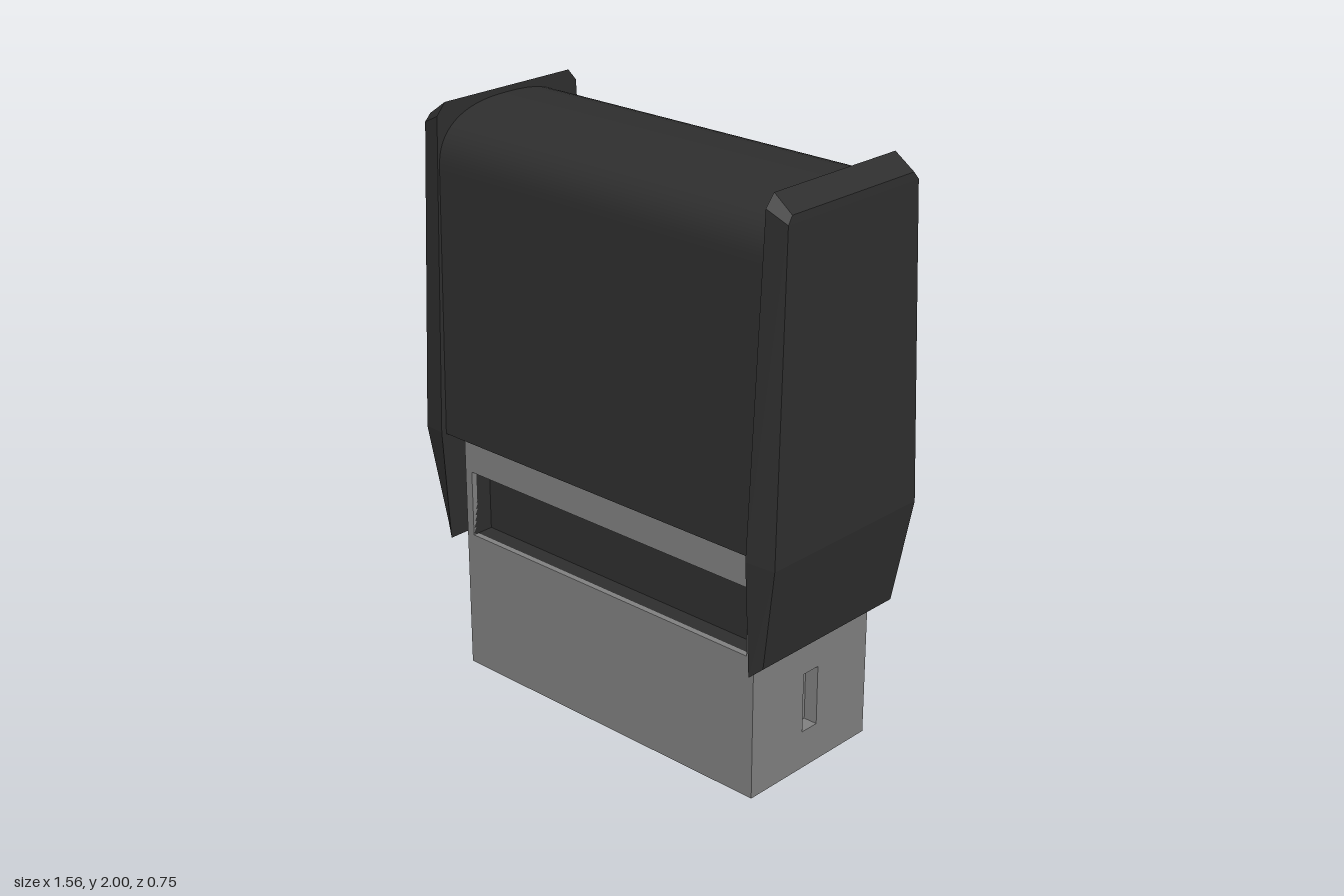
import * as THREE from 'three';
import { toCreasedNormals } from 'three/addons/utils/BufferGeometryUtils.js';

const grey = new THREE.MeshStandardMaterial({ color: 0x808080 });
const greyInner = new THREE.MeshStandardMaterial({ color: 0x808080, side: THREE.BackSide });
const dark = new THREE.MeshStandardMaterial({ color: 0x2e2e2e });
const darkInner = new THREE.MeshStandardMaterial({ color: 0x2e2e2e, side: THREE.BackSide });
const darkFlat = new THREE.MeshStandardMaterial({ color: 0x2e2e2e, flatShading: true });

const W = 0.645, D = 0.28, WALL = 0.02, BODY_TOP = 0.88;

function add(parent, name, geometry, material) {
  const mesh = new THREE.Mesh(geometry, material);
  mesh.name = name;
  parent.add(mesh);
  return mesh;
}

// Upright wall panel with a rectangular opening; its outer face lies on z = 0
function panelGeometry(halfWidth, holeHalf, holeLow, holeHigh) {
  const rect = (path, w, y0, y1) =>
    path.moveTo(-w, y0).lineTo(w, y0).lineTo(w, y1).lineTo(-w, y1).closePath();
  const shape = rect(new THREE.Shape(), halfWidth, 0, BODY_TOP);
  shape.holes.push(rect(new THREE.Path(), holeHalf, holeLow, holeHigh));
  return new THREE.ExtrudeGeometry(shape, { depth: WALL, bevelEnabled: false }).translate(0, 0, -WALL);
}

// Open-fronted recess: a box without its +z face, seen from inside
function pocketGeometry(holeHalf, holeLow, holeHigh, depth) {
  const geo = new THREE.BoxGeometry(holeHalf * 2, holeHigh - holeLow, depth);
  const index = Array.from(geo.index.array);
  index.splice(24, 6);
  geo.setIndex(index);
  geo.clearGroups();
  return geo.translate(0, (holeLow + holeHigh) / 2, -depth / 2);
}

// Rounded cover: tapered walls and an arched top, extruded across x
function coverGeometry() {
  const half = 0.69, shape = new THREE.Shape();
  shape.moveTo(-0.325, 0.87).lineTo(0.325, 0.87);
  const n = 32;
  for (let i = 0; i <= n; i++) {
    const a = (i / n) * Math.PI, c = Math.cos(a), s = Math.max(0, Math.sin(a));
    shape.lineTo(0.308 * Math.sign(c) * Math.abs(c) ** 0.8, 1.78 + 0.2 * s ** 0.8);
  }
  shape.closePath();
  const geo = new THREE.ExtrudeGeometry(shape, { depth: half * 2, bevelEnabled: false });
  geo.translate(0, 0, -half).rotateY(-Math.PI / 2);
  return toCreasedNormals(geo, 0.5);
}

// Bevelled side plate: four-point sections lofted from top to bottom
function sidePlateGeometry() {
  // inner y, outer y, outer x, inner front z, outer front z, outer back z, inner back z
  const levels = [
    [2.0, 1.95, 0.757, 0.275, 0.28, -0.275, -0.275],
    [1.96, 1.925, 0.76, 0.31, 0.3, -0.295, -0.31],
    [0.88, 0.87, 0.78, 0.373, 0.35, -0.325, -0.345],
    [0.48, 0.515, 0.725, 0.35, 0.33, -0.295, -0.32],
  ];
  const sections = levels.map(([yi, yo, xo, fi, fo, bo, bi]) =>
    [[0.685, yi, fi], [xo, yo, fo], [xo, yo, bo], [0.685, yi, bi]]);
  const pos = [];
  const quad = (a, b, c, d) => pos.push(...a, ...b, ...c, ...a, ...c, ...d);
  for (let i = 0; i < sections.length - 1; i++) {
    const t = sections[i], b = sections[i + 1];
    for (let j = 0; j < 4; j++) {
      const k = (j + 1) % 4;
      quad(b[j], b[k], t[k], t[j]);
    }
  }
  quad(...sections[0]);
  quad(...[...sections[sections.length - 1]].reverse());
  const geo = new THREE.BufferGeometry();
  geo.setAttribute('position', new THREE.Float32BufferAttribute(pos, 3));
  geo.computeVertexNormals();
  return geo;
}

export function createModel() {
  const model = new THREE.Group();
  model.name = 'selfInkingStamp';

  // Lower housing with windows front and back, slots left and right
  const body = new THREE.Group();
  body.name = 'housing';
  model.add(body);
  const windowHole = [0.615, 0.5, 0.735], slotHole = [0.035, 0.135, 0.345];
  for (const turn of [0, Math.PI]) {
    const face = new THREE.Group();
    face.name = turn ? 'backWall' : 'frontWall';
    face.rotation.y = turn;
    const side = new THREE.Group();
    side.name = turn ? 'rightWall' : 'leftWall';
    side.rotation.y = turn + Math.PI / 2;
    body.add(face, side);
    add(face, 'windowPanel', panelGeometry(W, ...windowHole), grey).position.z = D;
    add(face, 'windowRecess', pocketGeometry(...windowHole, 0.08), darkInner).position.z = D;
    add(side, 'slotPanel', panelGeometry(D - WALL, ...slotHole), grey).position.z = W;
    add(side, 'slotRecess', pocketGeometry(...slotHole, 0.05), greyInner).position.z = W;
  }

  // Stamping pad set up inside the open bottom
  const pad = new THREE.BoxGeometry((W - WALL) * 2, 0.03, (D - WALL) * 2);
  add(model, 'stampPad', pad, dark).position.y = 0.105;

  // Cover and its two side plates
  add(model, 'cover', coverGeometry(), dark);
  for (const turn of [0, Math.PI]) {
    const plate = add(model, turn ? 'rightSidePlate' : 'leftSidePlate', sidePlateGeometry(), darkFlat);
    plate.rotation.y = turn;
  }
  return model;
}
